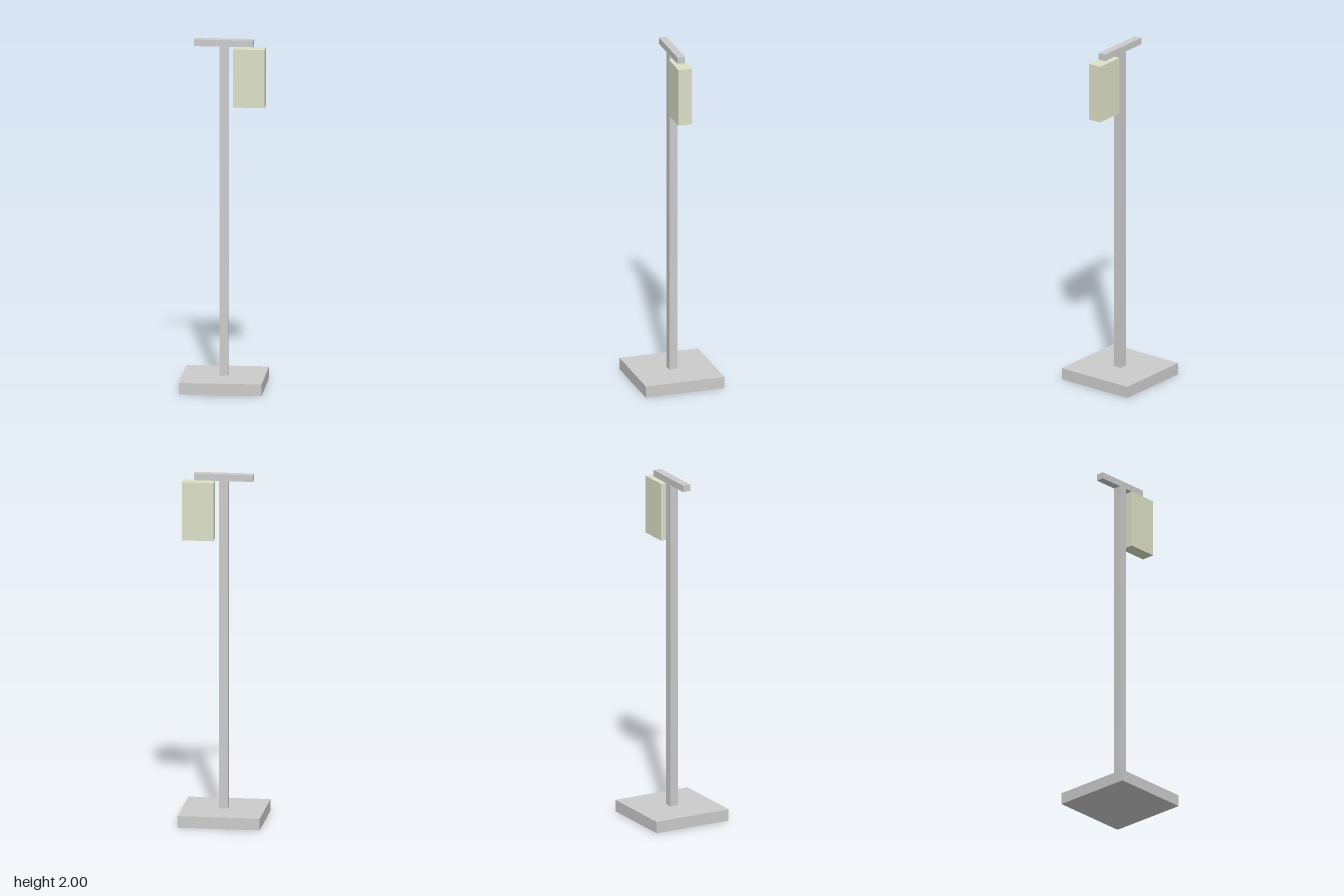
import * as THREE from 'three';

const grey = new THREE.MeshStandardMaterial({ color: 0xcccccc });
const pale = new THREE.MeshStandardMaterial({ color: 0xdce0c6 });

// Box given by its x range, y range and half depth, centred on z = 0
function block(name, [x0, x1], [y0, y1], halfDepth, material = grey) {
  const mesh = new THREE.Mesh(new THREE.BoxGeometry(x1 - x0, y1 - y0, halfDepth * 2), material);
  mesh.name = name;
  mesh.position.set((x0 + x1) / 2, (y0 + y1) / 2, 0);
  return mesh;
}

export function createModel() {
  const group = new THREE.Group();
  group.name = 'signPost';
  group.add(
    block('base', [-0.233, 0.233], [0, 0.067], 0.233),
    block('post', [-0.0245, 0.0245], [0.067, 1.962], 0.0245),
    block('crossbar', [-0.167, 0.167], [1.962, 2], 0.0225),
    // Panel floating just under one arm of the crossbar
    block('hangingPanel', [0.055, 0.233], [1.616, 1.951], 0.039, pale),
  );
  return group;
}
